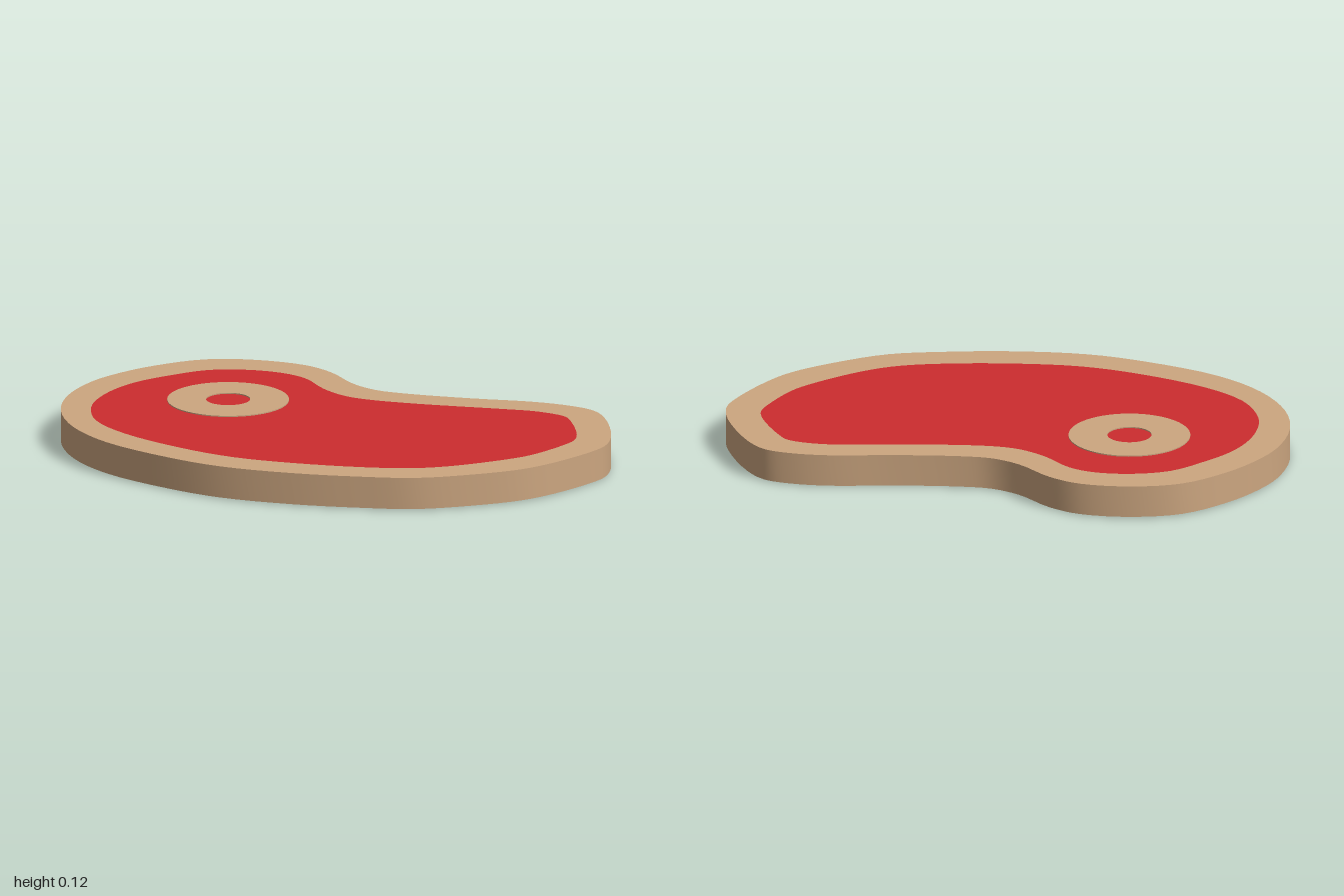
import * as THREE from 'three';
import { toCreasedNormals } from 'three/addons/utils/BufferGeometryUtils.js';

// Outlines in plan, as [x, z]
const OUTER = [
  [-0.07, -1], [0.08, -0.985], [0.24, -0.935], [0.41, -0.835], [0.51, -0.685], [0.56, -0.5], [0.54, -0.37],
  [0.465, -0.215], [0.447, -0.1], [0.475, 0.02], [0.56, 0.24], [0.655, 0.45], [0.69, 0.585], [0.69, 0.69],
  [0.635, 0.78], [0.46, 0.935], [0.35, 0.99], [0.27, 0.998], [0.06, 0.97], [-0.08, 0.925], [-0.24, 0.82],
  [-0.395, 0.68], [-0.5, 0.505], [-0.605, 0.28], [-0.685, 0.02], [-0.7, -0.21], [-0.67, -0.5],
  [-0.58, -0.71], [-0.435, -0.87], [-0.26, -0.965],
];
const INNER = [
  [-0.065, -0.875], [0.05, -0.86], [0.16, -0.82], [0.305, -0.745], [0.39, -0.63], [0.43, -0.5], [0.42, -0.395],
  [0.35, -0.265], [0.32, -0.155], [0.328, -0.06], [0.39, 0.125], [0.515, 0.415], [0.56, 0.53], [0.567, 0.65],
  [0.525, 0.71], [0.4, 0.825], [0.335, 0.86], [0.265, 0.865], [0.09, 0.845], [-0.01, 0.805], [-0.2, 0.69],
  [-0.3, 0.595], [-0.395, 0.44], [-0.495, 0.21], [-0.56, -0.01], [-0.573, -0.235], [-0.54, -0.51],
  [-0.465, -0.69], [-0.33, -0.81], [-0.2, -0.86],
];

// Smooth closed loop through the plan points, in shape space (y = -z)
function loop(points) {
  const curve = new THREE.CatmullRomCurve3(points.map(([x, z]) => new THREE.Vector3(x, -z, 0)), true);
  return curve.getPoints(120).slice(0, -1).map((p) => new THREE.Vector2(p.x, p.y));
}

function circle(x, z, r) {
  return new THREE.Path().absarc(x, -z, r, 0, Math.PI * 2).getPoints(48).slice(0, -1);
}

// Upright slab from y0 to y1, with an optional hole
function slab(name, outline, hole, y0, y1, material) {
  const shape = new THREE.Shape(outline);
  if (hole) shape.holes.push(new THREE.Path(hole));
  const extruded = new THREE.ExtrudeGeometry(shape, { depth: y1 - y0, bevelEnabled: false });
  extruded.rotateX(-Math.PI / 2).translate(0, y0, 0);
  const mesh = new THREE.Mesh(toCreasedNormals(extruded, 0.6), material);
  mesh.name = name;
  return mesh;
}

export function createModel() {
  const tan = new THREE.MeshStandardMaterial({ color: 0xcca680 });
  const red = new THREE.MeshStandardMaterial({ color: 0xcc2c2e });
  const inner = loop(INNER);
  const group = new THREE.Group();
  group.name = 'steak';
  group.add(
    // Fat rim and the meat that fills it, flush on both faces
    slab('fatRim', loop(OUTER), inner, 0.004, 0.121, tan),
    slab('meat', inner, null, 0.004, 0.121, red),
    // Bone ring standing slightly proud of both faces; meat shows through as marrow
    slab('boneRing', circle(0.03, -0.46, 0.22), circle(0.03, -0.46, 0.08), 0, 0.125, tan),
  );
  return group;
}
